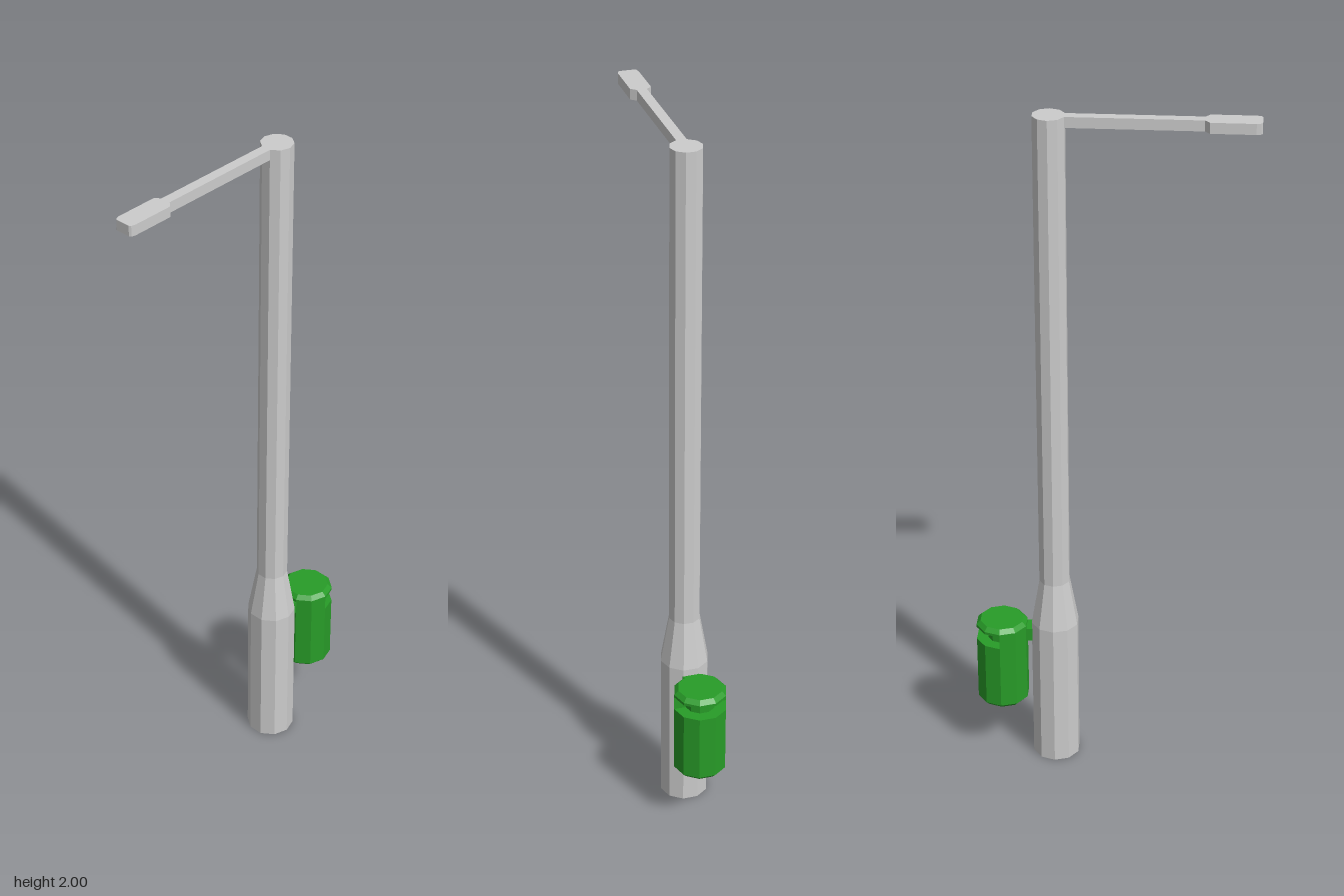
import * as THREE from 'three';

const SIDES = 10;
const mat = (color) => new THREE.MeshStandardMaterial({ color, flatShading: true });

function add(group, name, geometry, material, x = 0, y = 0, z = 0) {
  const mesh = new THREE.Mesh(geometry, material);
  mesh.name = name;
  mesh.position.set(x, y, z);
  group.add(mesh);
  return mesh;
}

// Faceted turned solid from [radius, height] pairs, listed bottom to top
const turned = (profile) =>
  new THREE.LatheGeometry(profile.map(([r, y]) => new THREE.Vector2(r, y)), SIDES);

// Flat outline mirrored across its long axis, from [x, halfWidth] pairs
function mirroredShape(half) {
  const back = half.slice().reverse().map(([x, w]) => [x, -w]);
  return new THREE.Shape([...half, ...back].map(([x, w]) => new THREE.Vector2(x, w)));
}

// Horizontal plate extruded upwards
const plate = (shape, depth) =>
  new THREE.ExtrudeGeometry(shape, { depth, bevelEnabled: false }).rotateX(-Math.PI / 2);

export function createModel() {
  const model = new THREE.Group();
  model.name = 'streetLamp';
  const grey = mat(0xcccccc);
  const green = mat(0x289c28);
  const yellow = mat(0xd8b830);

  // Pole with thick base, tapering to a slim shaft
  const poleX = 0.162;
  add(model, 'pole', turned([
    [0, 0], [0.069, 0], [0.069, 0.45], [0.0445, 0.59], [0.0445, 2], [0, 2],
  ]), grey, poleX);

  // Arm widening into the lamp head
  const head = [[-0.39, 0.021], [-0.386, 0.026], [-0.374, 0.029], [-0.255, 0.029]];
  const arm = mirroredShape([...head, [-0.242, 0.014], [0.121, 0.014]]);
  add(model, 'lampArm', plate(arm, 0.03), grey, 0, 1.97);

  // Light panel under the head
  const panel = new THREE.ShapeGeometry(mirroredShape(head)).rotateX(Math.PI / 2);
  add(model, 'lightPanel', panel, yellow, 0, 1.9695);

  // Litter bin with an opening facing away from the pole
  const bin = new THREE.Group();
  bin.name = 'litterBin';
  bin.position.x = 0.316;
  model.add(bin);
  const R = 0.0755, bevel = 0.012, slotLow = 0.39, slotHigh = 0.43;
  add(bin, 'binBody', turned([
    [0, 0.18], [R - bevel, 0.18], [R, 0.18 + bevel], [R, slotLow], [0, slotLow],
  ]), green);
  add(bin, 'binLid', turned([
    [0, slotHigh], [R, slotHigh], [R, 0.45 - bevel], [R - bevel, 0.45], [0, 0.45],
  ]), green);

  // Half wall behind the opening, and the recessed inner wall
  const wall = [];
  for (let i = 0; i <= SIDES / 2; i++) {
    const a = Math.PI / 2 + (i * 2 * Math.PI) / SIDES;
    wall.push(new THREE.Vector2(R * Math.cos(a), R * Math.sin(a)));
  }
  const slotHeight = slotHigh - slotLow;
  add(bin, 'binBackWall', plate(new THREE.Shape(wall), slotHeight), green, 0, slotLow);
  add(bin, 'binInnerWall', new THREE.CylinderGeometry(0.042, 0.042, slotHeight, SIDES),
    green, 0, (slotLow + slotHigh) / 2);

  // Bracket joining bin and pole
  add(model, 'binBracket', new THREE.BoxGeometry(0.05, 0.04, 0.048), green, 0.237, 0.41);

  return model;
}
